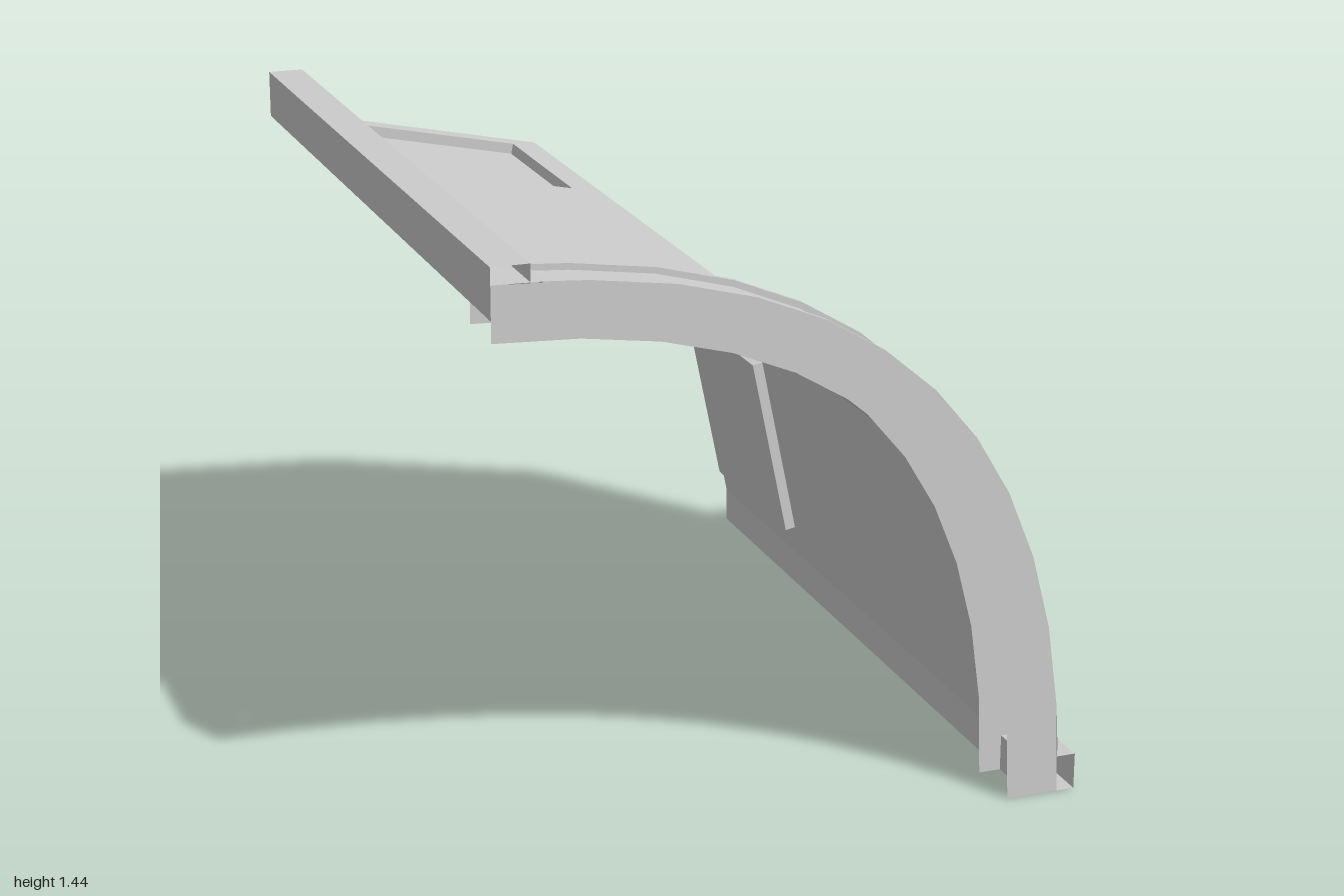
import * as THREE from 'three';

const flat = new THREE.MeshStandardMaterial({ color: 0xcccccc, side: THREE.DoubleSide, flatShading: true });
const smooth = new THREE.MeshStandardMaterial({ color: 0xcccccc, side: THREE.DoubleSide });

const ARCH_BACK = 0.845, ARCH_FRONT = 1, SEGMENTS = 12;

function mesh(name, geometry, material = flat) {
  const m = new THREE.Mesh(geometry, material);
  m.name = name;
  return m;
}

// Box without its +z face, and optionally without its -z face too
function openBox(w, h, d, bothEnds) {
  const g = new THREE.BoxGeometry(w, h, d);
  const index = Array.from(g.index.array);
  index.splice(24, bothEnds ? 12 : 6);
  g.setIndex(index);
  g.clearGroups();
  return g;
}

// Hollow beam with open ends, running the full length
function beam(name, x0, x1, y0, y1) {
  const m = mesh(name, openBox(x1 - x0, y1 - y0, 2, true));
  m.position.set((x0 + x1) / 2, (y0 + y1) / 2, 0);
  return m;
}

// Thin sloping panel from a to b with a recessed window near the back
function panel(name, a, b) {
  const dir = b.clone().sub(a);
  const length = dir.length();
  dir.normalize();
  const group = new THREE.Group();
  group.name = name;

  const w = 0.5, y0 = 0.43, y1 = 0.94, depth = 0.028;
  const x0 = (length - w) / 2, x1 = x0 + w;
  const rect = (l, r, lo, hi) => [[l, lo], [r, lo], [r, hi], [l, hi]].map(p => new THREE.Vector2(...p));
  const shape = new THREE.Shape(rect(0, length, -ARCH_BACK, 1));
  shape.holes.push(new THREE.Path(rect(x0, x1, y0, y1).reverse()));
  group.add(mesh('panelSheet', new THREE.ShapeGeometry(shape)));

  const recess = mesh('windowRecess', openBox(w, y1 - y0, depth, false));
  recess.position.set((x0 + x1) / 2, (y0 + y1) / 2, -depth / 2);
  group.add(recess);

  // Local x runs down the slope, local y to the back, local z outward
  group.applyMatrix4(new THREE.Matrix4().makeBasis(
    new THREE.Vector3(dir.x, dir.y, 0),
    new THREE.Vector3(0, 0, -1),
    new THREE.Vector3(-dir.y, dir.x, 0)
  ).setPosition(a.x, a.y, 0));
  return group;
}

// Quarter-arch curve with its corner at (x, y)
function archCurve(x, y) {
  return new THREE.QuadraticBezierCurve(
    new THREE.Vector2(-0.72, y), new THREE.Vector2(x, y), new THREE.Vector2(x, 0));
}

// Smooth ribbon between curve A at depth zA and curve B at depth zB
function ribbon(curveA, zA, curveB, zB, ts) {
  const pos = [], index = [];
  ts.forEach((t, i) => {
    const p = curveA(t), q = curveB(t);
    pos.push(p.x, p.y, zA, q.x, q.y, zB);
    if (i) {
      const k = 2 * i;
      index.push(k - 2, k - 1, k, k, k - 1, k + 1);
    }
  });
  const g = new THREE.BufferGeometry();
  g.setAttribute('position', new THREE.Float32BufferAttribute(pos, 3));
  g.setIndex(index);
  g.computeVertexNormals();
  return g;
}

function arch() {
  const group = new THREE.Group();
  group.name = 'archRib';
  const outerCurve = archCurve(0.675, 1.4), innerCurve = archCurve(0.545, 1.27);
  const outer = t => outerCurve.getPoint(t);
  const floor = t => {
    const n = outerCurve.getTangent(t);
    return outer(t).add(new THREE.Vector2(n.y, -n.x).multiplyScalar(0.015));
  };

  // Front and back plates
  const outline = [...outerCurve.getPoints(SEGMENTS), ...innerCurve.getPoints(SEGMENTS).reverse()];
  for (const [name, z] of [['frontPlate', ARCH_FRONT], ['backPlate', ARCH_BACK]]) {
    const plate = mesh(name, new THREE.ShapeGeometry(new THREE.Shape(outline)));
    plate.position.z = z;
    group.add(plate);
  }

  // Outer surface with a shallow groove
  const t0 = 0.045, t1 = 0.955, zb = 0.86, zf = 0.985;
  const steps = Array.from({ length: SEGMENTS - 1 }, (_, i) => (i + 1) / SEGMENTS);
  const grooveTs = [t0, ...steps, t1], allTs = [0, ...grooveTs, 1];
  const add = (name, ...args) => group.add(mesh(name, ribbon(...args), smooth));
  add('frontRim', outer, ARCH_FRONT, outer, zf, allTs);
  add('backRim', outer, zb, outer, ARCH_BACK, allTs);
  add('topRim', outer, zf, outer, zb, [0, t0]);
  add('footRim', outer, zf, outer, zb, [t1, 1]);
  add('grooveFloor', floor, zf, floor, zb, grooveTs);
  add('grooveFrontWall', outer, zf, floor, zf, grooveTs);
  add('grooveBackWall', floor, zb, outer, zb, grooveTs);
  for (const t of [t0, t1]) {
    const a = outer(t), b = floor(t);
    const wall = u => a.clone().lerp(b, u);
    add('grooveEndWall', wall, zf, wall, zb, [0, 1]);
  }
  return group;
}

export function createModel() {
  const model = new THREE.Group();
  model.name = 'curvedWallSection';

  // Beams along the upper and lower edges
  model.add(beam('upperBeam', -0.72, -0.63, 1.32, 1.44));
  model.add(beam('lowerBeam', 0.6, 0.72, 0, 0.09));

  // Three panels folding down from the upper beam to the lower one
  const folds = [[-0.63, 1.32], [0.02, 1.185], [0.46, 0.755], [0.6, 0.09]].map(p => new THREE.Vector2(...p));
  ['upperPanel', 'middlePanel', 'lowerPanel'].forEach((name, i) => model.add(panel(name, folds[i], folds[i + 1])));

  model.add(arch());
  return model;
}
